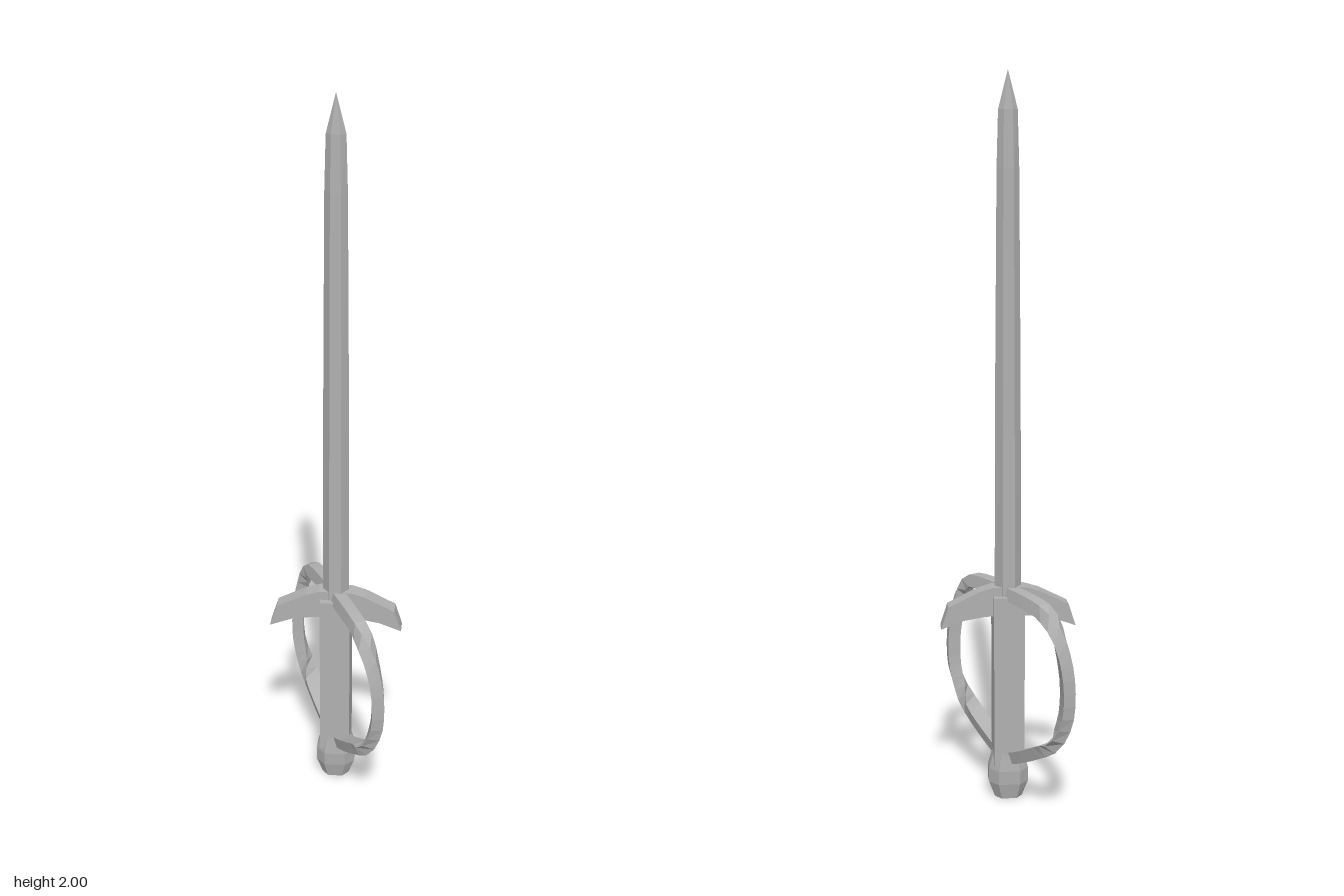
import * as THREE from 'three';

// Skin a list of rings (counter-clockwise about the direction of travel), capped at both ends
function loft(rings) {
  const pos = [];
  const tri = (a, b, c) => [a, b, c].forEach((p) => pos.push(p.x, p.y, p.z));
  const n = rings[0].length;
  for (let i = 0; i < rings.length - 1; i++) {
    for (let j = 0; j < n; j++) {
      const k = (j + 1) % n;
      tri(rings[i][j], rings[i][k], rings[i + 1][k]);
      tri(rings[i][j], rings[i + 1][k], rings[i + 1][j]);
    }
  }
  const first = rings[0], last = rings[rings.length - 1];
  for (let j = 1; j < n - 1; j++) {
    tri(first[0], first[j + 1], first[j]);
    tri(last[0], last[j], last[j + 1]);
  }
  const g = new THREE.BufferGeometry();
  g.setAttribute('position', new THREE.Float32BufferAttribute(pos, 3));
  g.computeVertexNormals();
  return g;
}

// Stack a section [x, z] at levels [y, scaleX, scaleZ]
const stack = (section, levels) =>
  loft(levels.map(([y, sx, sz]) => section.map(([x, z]) => new THREE.Vector3(x * sx, y, z * sz))));

// Tapered bar swept along the hand guard loop, turning as it leaves the hilt
function guardLoop() {
  const curve = new THREE.CatmullRomCurve3([
    [0, 0.597, 0], [0.05, 0.595, 0.1], [0.085, 0.584, 0.165], [0.108, 0.545, 0.203],
    [0.13, 0.46, 0.22], [0.138, 0.38, 0.223], [0.133, 0.3, 0.219], [0.108, 0.225, 0.197],
    [0.08, 0.183, 0.145], [0.022, 0.125, 0.04], [0, 0.112, 0],
  ].map((p) => new THREE.Vector3(...p)));
  const section = [[-0.024, -0.017], [0.024, -0.017], [0.0165, 0.017], [-0.0165, 0.017]];
  const rings = [];
  for (let i = 0; i <= 24; i++) {
    const p = curve.getPointAt(i / 24), t = curve.getTangentAt(i / 24);
    const turn = THREE.MathUtils.smoothstep(Math.hypot(p.x, p.z), 0.17, 0.262);
    const a = THREE.MathUtils.degToRad(62 - 67 * turn);
    const w = new THREE.Vector3(Math.sin(a), 0, -Math.cos(a));
    const n = new THREE.Vector3().crossVectors(t, w).normalize();
    w.crossVectors(n, t);
    rings.push(section.map(([u, v]) => p.clone().addScaledVector(w, u).addScaledVector(n, v)));
  }
  return loft(rings);
}

export function createModel() {
  const model = new THREE.Group();
  const steel = new THREE.MeshStandardMaterial({ color: 0xb0b0b0, flatShading: true });
  steel.name = 'steel';
  const add = (name, geometry) => {
    const mesh = new THREE.Mesh(geometry, steel);
    mesh.name = name;
    model.add(mesh);
    return mesh;
  };

  // Six-sided blade tapering to a point
  const bladeSection = [[-0.017, 0.027], [0.017, 0.027], [0.037, 0], [0.017, -0.027], [-0.017, -0.027], [-0.037, 0]];
  add('blade', stack(bladeSection, [
    [0.57, 1, 1], [1.2, 0.93, 0.83], [1.75, 0.81, 0.68], [1.9, 0.7, 0.5], [2, 0.01, 0.01],
  ]));

  // Square grip
  add('grip', new THREE.BoxGeometry(0.085, 0.49, 0.087)).position.y = 0.345;

  // Eight-sided pommel
  const pommelSection = [[-0.03, 0.049], [0.03, 0.049], [0.055, 0.02], [0.055, -0.02],
    [0.03, -0.049], [-0.03, -0.049], [-0.055, -0.02], [-0.055, 0.02]];
  add('pommel', stack(pommelSection, [[0, 0.7, 0.75], [0.045, 1, 0.95], [0.085, 1, 1], [0.135, 0.76, 0.9]]));

  // Drooping crossguard
  const half = [[0.045, 0.615], [0.085, 0.603], [0.167, 0.562], [0.187, 0.5], [0.125, 0.523], [0.07, 0.532], [0.03, 0.535]];
  const outline = [...half, ...half.map(([x, y]) => [-x, y]).reverse()];
  const shape = new THREE.Shape(outline.map(([x, y]) => new THREE.Vector2(x, y)));
  add('crossguard', new THREE.ExtrudeGeometry(shape, { depth: 0.048, bevelEnabled: false })).position.z = -0.024;

  // Two opposed hand guard loops
  const loop = guardLoop();
  add('frontHandGuard', loop);
  add('backHandGuard', loop).rotation.y = Math.PI;

  return model;
}
